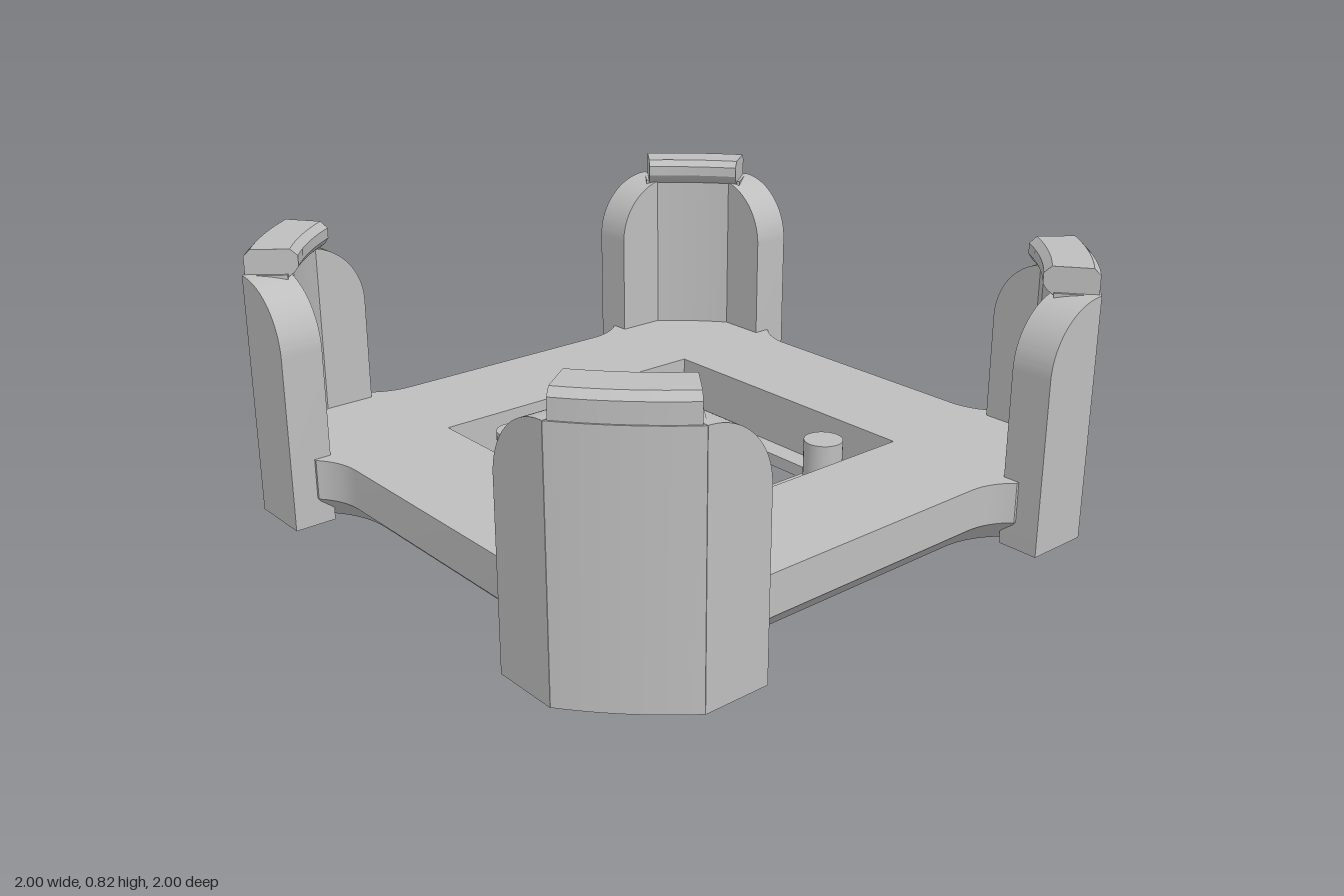
import * as THREE from 'three';
import { mergeGeometries, toCreasedNormals } from 'three/addons/utils/BufferGeometryUtils.js';

const V = (x, y) => new THREE.Vector2(x, y);
const rad = THREE.MathUtils.degToRad;
const grey = new THREE.MeshStandardMaterial({ color: 0xbebebe });
grey.name = 'plain grey';

function mesh(name, geometry) {
  const m = new THREE.Mesh(toCreasedNormals(geometry, rad(25)), grey);
  m.name = name;
  return m;
}

// Plate outline, counter-clockwise from above, moved inward by d
function outline(d) {
  const fillet = [];
  for (let i = 0; i <= 8; i++) {
    const a = rad(42 * i / 8), r = 0.205 + d;
    fillet.push(V(0.385 + r * Math.sin(a), 1.075 - r * Math.cos(a)));
  }
  const quarter = fillet.map(p => V(p.y, p.x));
  for (let i = 0; i <= 6; i++) {
    const a = rad(38.2 + 13.6 * i / 6);
    quarter.push(V((1.175 - d) * Math.cos(a), (1.175 - d) * Math.sin(a)));
  }
  quarter.push(...fillet.reverse());
  const ring = [];
  for (let k = 0; k < 4; k++)
    for (const p of quarter) ring.push(p.clone().rotateAround(V(0, 0), k * Math.PI / 2));
  return ring;
}

const rect = (w, h) => [V(w, -h), V(w, h), V(-w, h), V(-w, -h)];

// Wall between two rings; reversed rings face inward
function wall(low, y0, high, y1) {
  const pos = [];
  low.forEach((a, i) => {
    const j = (i + 1) % low.length, b = low[j], c = high[j], e = high[i];
    pos.push(a.x, y0, -a.y, b.x, y0, -b.y, c.x, y1, -c.y);
    pos.push(a.x, y0, -a.y, c.x, y1, -c.y, e.x, y1, -e.y);
  });
  return new THREE.BufferGeometry().setAttribute('position', new THREE.Float32BufferAttribute(pos, 3));
}

// Flat face with one hole, facing up or down
function cap(ring, hole, y, up) {
  const shape = new THREE.Shape(ring);
  shape.holes.push(new THREE.Path(hole));
  const g = new THREE.ShapeGeometry(shape).rotateX(up ? -Math.PI / 2 : Math.PI / 2).translate(0, y, 0).toNonIndexed();
  g.deleteAttribute('uv');
  g.deleteAttribute('normal');
  return g;
}

// Base plate with chamfered underside, square recess and through slot
function basePlate() {
  const full = outline(0), foot = outline(0.085);
  const recess = rect(0.485, 0.485), slot = rect(0.205, 0.415);
  const recessIn = [...recess].reverse(), slotIn = [...slot].reverse();
  return mesh('basePlate', mergeGeometries([
    wall(foot, 0, full, 0.085),
    wall(full, 0.085, full, 0.21),
    cap(full, recess, 0.21, true),
    wall(recessIn, 0.04, recessIn, 0.21),
    cap(recess, slot, 0.04, true),
    wall(slotIn, 0, slotIn, 0.04),
    cap(foot, slot, 0, false),
  ]));
}

// Sweep a (radius, height) profile round the y axis between two angles
function sweep(profile, from, to) {
  const g = new THREE.ExtrudeGeometry(new THREE.Shape(profile), { depth: 1, steps: 12, bevelEnabled: false });
  const p = g.attributes.position;
  for (let i = 0; i < p.count; i++) {
    const a = rad(from + (to - from) * p.getZ(i)), r = p.getX(i);
    p.setXYZ(i, r * Math.cos(a), p.getY(i), r * Math.sin(a));
  }
  g.computeVertexNormals();
  return g;
}

// Flat wing with a rounded upper corner, on the +x (s = 1) or -x side
function wing(s) {
  const shape = new THREE.Shape();
  shape.moveTo(0.53, 0);
  shape.lineTo(0.735, 0);
  shape.lineTo(0.735, 0.745);
  shape.absarc(0.735, 0.54, 0.205, Math.PI / 2, Math.PI, false);
  const points = shape.getPoints(20).map(p => V(p.x * s, p.y));
  return new THREE.ExtrudeGeometry(new THREE.Shape(points), { depth: 0.13, bevelEnabled: false }).translate(0, 0, 0.87);
}

// Corner post: curved wall, two wings and a retaining lip
function cornerPost() {
  const post = new THREE.Group();
  post.name = 'cornerPost';
  post.add(
    mesh('curvedWall', sweep([V(1.11, 0), V(1.24, 0), V(1.24, 0.744), V(1.11, 0.744)], 36.32, 53.68)),
    mesh('frontWing', wing(1)),
    mesh('sideWing', wing(-1).rotateY(Math.PI / 2)),
    mesh('retainingLip', sweep([
      V(1.11, 0.735), V(1.235, 0.735), V(1.235, 0.8), V(1.215, 0.82),
      V(1.1, 0.82), V(1.078, 0.8), V(1.078, 0.768), V(1.09, 0.75),
    ], 36.8, 53.2)),
  );
  return post;
}

export function createModel() {
  const model = new THREE.Group();
  model.name = 'cornerClipHolder';
  model.add(basePlate());

  for (let k = 0; k < 4; k++) {
    const post = cornerPost();
    post.rotation.y = k * Math.PI / 2;
    model.add(post);
  }

  // Locating pins standing in the recess
  for (const x of [-0.335, 0.335])
    for (const z of [-0.335, 0.335])
      model.add(mesh('locatingPin', new THREE.CylinderGeometry(0.06, 0.06, 0.17, 32).translate(x, 0.125, z)));

  return model;
}
